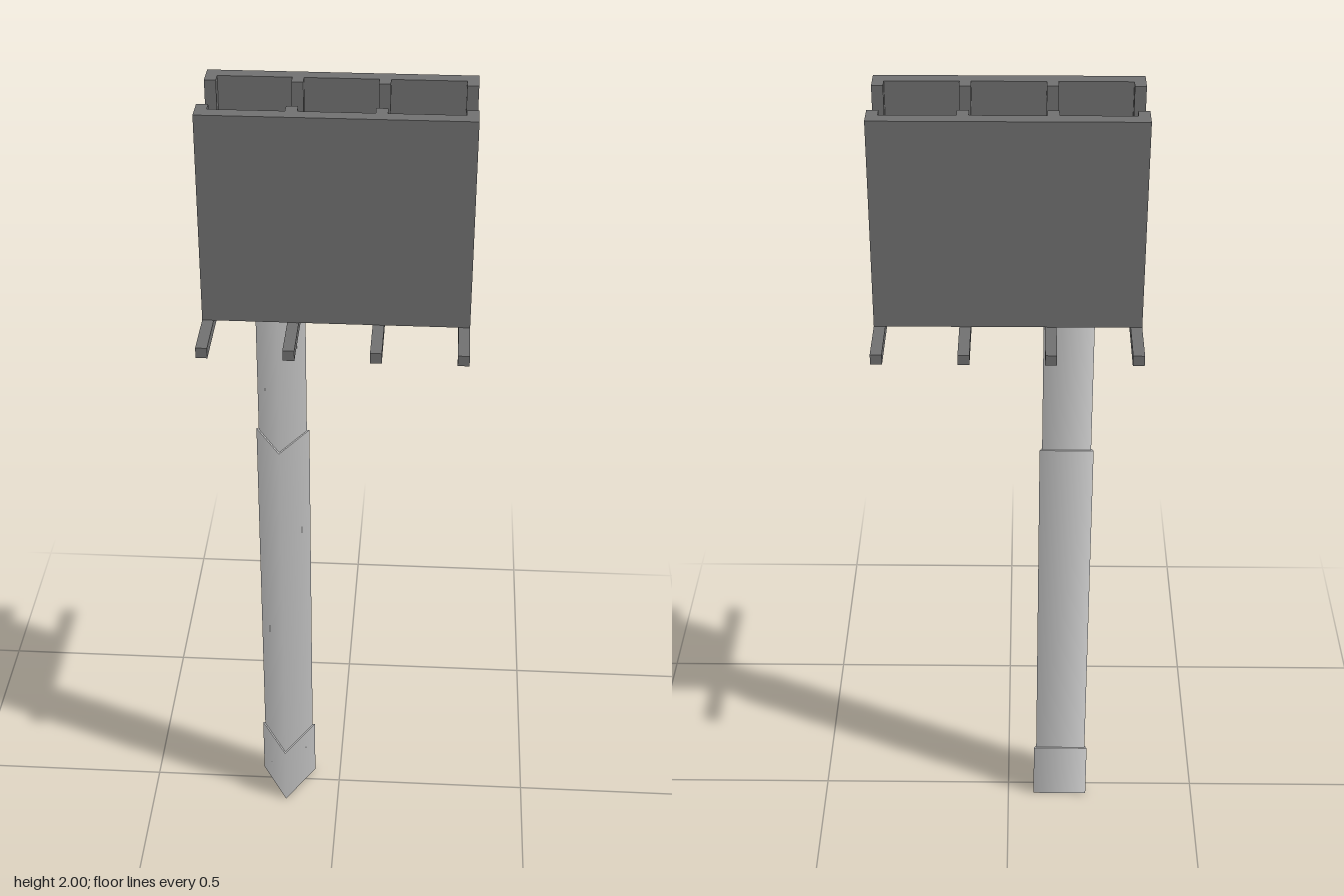
import * as THREE from 'three';

export function createModel() {
  const model = new THREE.Group();
  const dark = new THREE.MeshStandardMaterial({ color: 0x707070 });
  const grey = new THREE.MeshStandardMaterial({ color: 0xcccccc });

  // Box given by its min and max corners
  const box = (name, x0, x1, y0, y1, z0, z1) => {
    const mesh = new THREE.Mesh(new THREE.BoxGeometry(x1 - x0, y1 - y0, z1 - z0), dark);
    mesh.name = name;
    mesh.position.set((x0 + x1) / 2, (y0 + y1) / 2, (z0 + z1) / 2);
    model.add(mesh);
  };

  const halfX = 0.301, bottom = 1.485, barTop = 1.51, top = 2;
  const blockZ = 0.068, wallInner = 0.095, wallOuter = 0.129, barEnd = 0.256;
  const barHalf = 0.013;
  const stations = [-halfX + barHalf, -0.096, 0.096, halfX - barHalf];

  // Central floor block of the U-shaped head
  box('floorBlock', -halfX, halfX, bottom, 1.65, -blockZ, blockZ);

  // Side walls, front and back
  box('frontWall', -halfX, halfX, barTop, top, wallInner, wallOuter);
  box('backWall', -halfX, halfX, barTop, top, -wallOuter, -wallInner);

  // Cross bars under the head and the ribs standing on them
  for (const x of stations) {
    const x0 = x - barHalf, x1 = x + barHalf;
    box('crossBar', x0, x1, bottom, barTop, -barEnd, barEnd);
    box('frontRib', x0, x1, barTop, top, blockZ, wallInner);
    box('backRib', x0, x1, barTop, top, -wallInner, -blockZ);
  }

  // Three-sided stepped post with smooth normals
  const sections = [
    ['postFoot', 0.082, 0, 0.165],
    ['postShaft', 0.075, 0.165, 1.12],
    ['postNeck', 0.068, 1.12, bottom],
  ];
  for (const [name, radius, y0, y1] of sections) {
    const mesh = new THREE.Mesh(new THREE.CylinderGeometry(radius, radius, y1 - y0, 3), grey);
    mesh.name = name;
    mesh.position.set(-0.14, (y0 + y1) / 2, 0);
    model.add(mesh);
  }

  return model;
}
